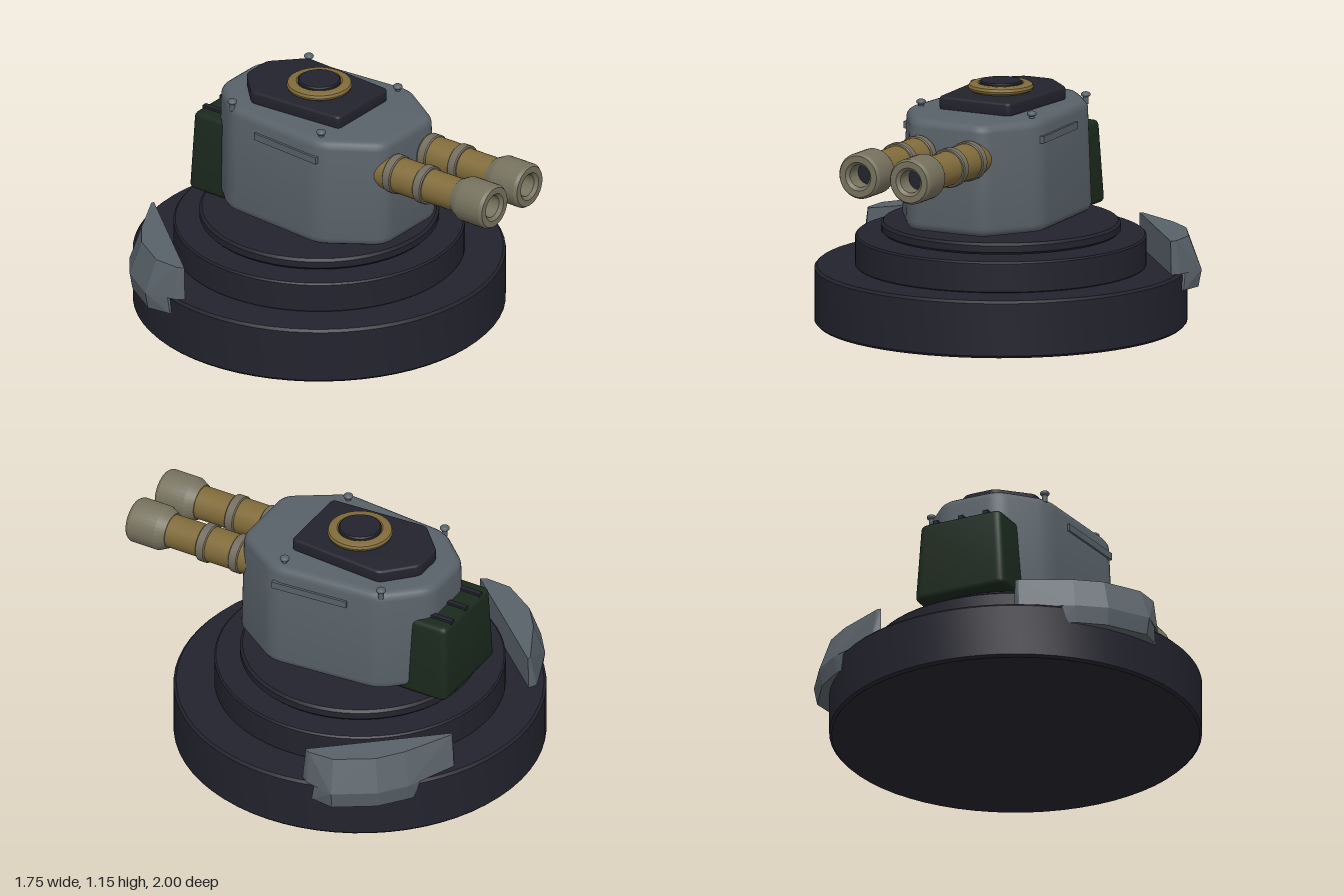
import * as THREE from 'three';
import { toCreasedNormals } from 'three/addons/utils/BufferGeometryUtils.js';
import { ConvexGeometry } from 'three/addons/geometries/ConvexGeometry.js';

const makeMat = (name, color) => {
  const m = new THREE.MeshStandardMaterial({ color });
  m.name = name;
  return m;
};

const CZ = -0.13; // centre of the round base

// Outline given as right-hand [x, z] points from back to front, mirrored, with rounded corners
function roundedOutline(half, r) {
  const all = [...half, ...half.map(([x, z]) => [-x, z]).reverse()];
  const pts = all.map(([x, z]) => new THREE.Vector2(x, -z));
  const shape = new THREE.Shape();
  pts.forEach((p, i) => {
    const prev = pts[(i + pts.length - 1) % pts.length];
    const next = pts[(i + 1) % pts.length];
    const a = p.clone().add(prev.clone().sub(p).setLength(r));
    const b = p.clone().add(next.clone().sub(p).setLength(r));
    if (i === 0) shape.moveTo(a.x, a.y);
    else shape.lineTo(a.x, a.y);
    shape.quadraticCurveTo(p.x, p.y, b.x, b.y);
  });
  shape.closePath();
  return shape;
}

// Upright rounded block between y0 and y1, narrowing towards the top
function block(half, r, y0, y1, bevel, topX = 1, topZ = 1, cz = CZ) {
  const g = new THREE.ExtrudeGeometry(roundedOutline(half, r), {
    depth: y1 - y0 - 2 * bevel, bevelEnabled: true, bevelThickness: bevel,
    bevelSize: bevel, bevelOffset: -bevel, bevelSegments: 4, curveSegments: 6,
  });
  g.rotateX(-Math.PI / 2).translate(0, y0 + bevel, 0);
  const p = g.attributes.position;
  for (let i = 0; i < p.count; i++) {
    const t = (p.getY(i) - y0) / (y1 - y0);
    p.setX(i, p.getX(i) * (1 + (topX - 1) * t));
    p.setZ(i, cz + (p.getZ(i) - cz) * (1 + (topZ - 1) * t));
  }
  return toCreasedNormals(g, 0.5);
}

const lathe = (profile, seg = 48) =>
  toCreasedNormals(new THREE.LatheGeometry(profile.map(([r, y]) => new THREE.Vector2(r, y)), seg), 0.5);

// Solid disc with a small bevel
const disc = (r, y0, y1, b, seg = 64) =>
  lathe([[0, y0], [r - b, y0], [r, y0 + b], [r, y1 - b], [r - b, y1], [0, y1]], seg);

export function createModel() {
  const navy = makeMat('dark navy', 0x23232e);
  const grey = makeMat('armour grey', 0x596269);
  const gold = makeMat('aged gold', 0x806b3a);
  const beige = makeMat('muzzle beige', 0x76725e);
  const band = makeMat('band grey', 0x736d5e);
  const green = makeMat('deep green', 0x1b291d);

  const model = new THREE.Group();
  const add = (name, geo, mat, x = 0, y = 0, z = 0, parent = model) => {
    const m = new THREE.Mesh(geo, mat);
    m.name = name;
    m.position.set(x, y, z);
    parent.add(m);
    return m;
  };

  // Stepped round base
  add('baseDrum', disc(0.87, 0, 0.273, 0.012), navy, 0, 0, CZ);
  add('baseStep', disc(0.68, 0.27, 0.42, 0.008), navy, 0, 0, CZ);
  add('turntable', disc(0.56, 0.43, 0.485, 0.012), navy, 0, 0, CZ);

  // Armour plates hooked over the back corners; points are [along, outward]
  const upperTop = [[-0.30, 0.725], [0.395, 0.725], [0.385, 0.755], [0.285, 0.835], [0.09, 0.865], [-0.055, 0.835], [-0.29, 0.74]];
  const upperLow = [[-0.31, 0.725], [0.41, 0.725], [0.40, 0.77], [0.307, 0.892], [0.09, 0.922], [-0.064, 0.89], [-0.30, 0.77]];
  const lowerTop = [[-0.12, 0.78], [0.36, 0.76], [0.37, 0.80], [0.307, 0.892], [0.09, 0.922], [-0.064, 0.89], [-0.12, 0.86]];
  const lowerLow = [[-0.12, 0.78], [0.37, 0.76], [0.38, 0.79], [0.30, 0.878], [0.09, 0.908], [-0.06, 0.878], [-0.12, 0.85]];
  for (const s of [1, -1]) {
    const place = (list, y) => list.map(([t, n]) =>
      new THREE.Vector3(s * (0.755 * n + 0.656 * t), y, CZ - 0.656 * n + 0.755 * t));
    const plate = new THREE.Group();
    plate.name = s > 0 ? 'leftArmourPlate' : 'rightArmourPlate';
    model.add(plate);
    add('plateUpper', new ConvexGeometry([...place(upperTop, 0.43), ...place(upperLow, 0.272)]), grey, 0, 0, 0, plate);
    add('plateLower', new ConvexGeometry([...place(lowerTop, 0.272), ...place(lowerLow, 0.19)]), grey, 0, 0, 0, plate);
  }

  // Turret body
  add('turretBody', block([[0.15, -0.615], [0.335, -0.42], [0.382, 0.14], [0.20, 0.41]], 0.06,
    0.51, 1.04, 0.04, 0.94, 0.98), grey);

  // Rear power pack with three ridges
  add('rearPack', block([[0.235, -0.725], [0.235, -0.42]], 0.04, 0.49, 0.88, 0.025, 0.89, 0.96, -0.42), green);
  for (const x of [-0.13, 0, 0.13])
    add('packRidge', new THREE.BoxGeometry(0.026, 0.024, 0.12), navy, x, 0.879, -0.645);

  // Side rails and roof bolts
  for (const s of [1, -1]) {
    const rail = add('sideRail', new THREE.BoxGeometry(0.03, 0.034, 0.385), grey, s * 0.343, 0.947, -0.06);
    rail.rotation.y = s * 0.08;
    for (const z of [-0.415, 0.105]) {
      add('boltStem', new THREE.CylinderGeometry(0.013, 0.013, 0.04, 12), grey, s * 0.295, 1.035, z);
      const head = add('boltHead', new THREE.SphereGeometry(0.023, 16, 10), grey, s * 0.295, 1.06, z);
      head.scale.y = 0.6;
    }
  }

  // Roof plate and hatch
  add('roofPlate', block([[0.075, -0.50], [0.222, -0.36], [0.19, 0.13]], 0.025, 1.035, 1.1, 0.012), navy);
  add('hatchRing', lathe([[0.1, 1.09], [0.138, 1.102], [0.15, 1.11], [0.153, 1.12], [0.148, 1.133],
    [0.135, 1.14], [0.108, 1.14], [0.1, 1.132], [0.1, 1.09]]), gold, 0, 0, CZ);
  add('hatchLid', disc(0.1, 1.09, 1.15, 0.006, 48), navy, 0, 0, CZ);

  // Twin guns, turned so the profile axis points forward
  for (const s of [1, -1]) {
    const gun = new THREE.Group();
    gun.name = s > 0 ? 'leftGun' : 'rightGun';
    gun.position.set(s * 0.135, 0.877, 0);
    gun.rotation.x = Math.PI / 2;
    model.add(gun);
    add('barrel', lathe([[0, 0.2], [0.086, 0.2], [0.086, 0.6], [0.08, 0.64], [0.08, 0.82], [0, 0.82]], 32), gold, 0, 0, 0, gun);
    for (const z of [0.43, 0.607])
      add('barrelBand', disc(0.093, z - 0.024, z + 0.024, 0.005, 32), band, 0, 0, 0, gun);
    add('muzzle', lathe([[0, 0.8], [0.085, 0.8], [0.108, 0.845], [0.108, 0.985], [0.098, 1.0],
      [0.068, 1.0], [0.053, 0.985], [0.053, 0.9]], 32), beige, 0, 0, 0, gun);
    add('bore', new THREE.CylinderGeometry(0.054, 0.054, 0.008, 32), navy, 0, 0.9, 0, gun);
  }
  return model;
}
